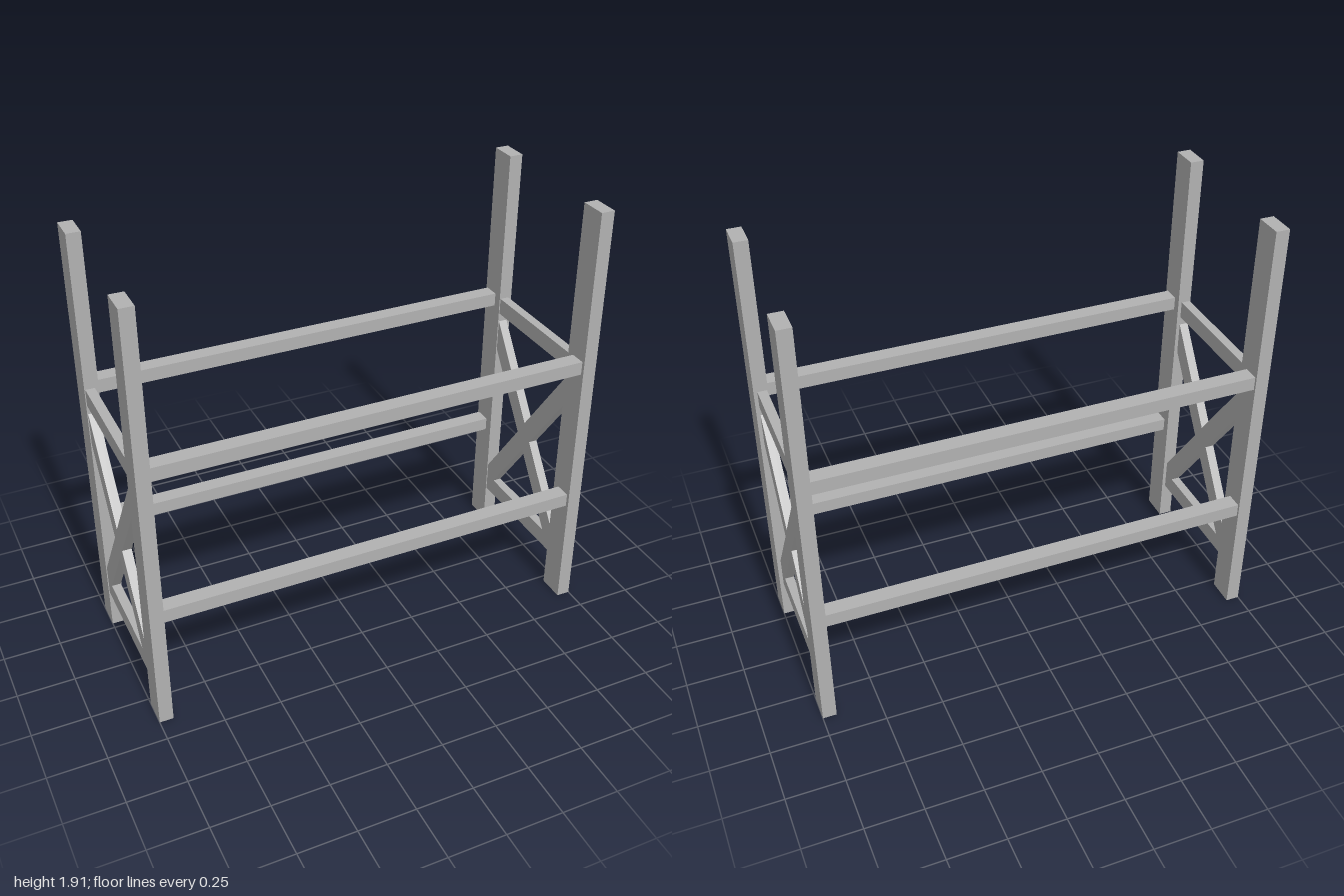
import * as THREE from 'three';

const steel = new THREE.MeshStandardMaterial({ color: 0xb2b2b2, side: THREE.DoubleSide });
steel.name = 'grey steel';

// Box given by its lower and upper limits on each axis
function bar(name, [x0, x1], [y0, y1], [z0, z1]) {
  const geometry = new THREE.BoxGeometry(x1 - x0, y1 - y0, z1 - z0);
  geometry.translate((x0 + x1) / 2, (y0 + y1) / 2, (z0 + z1) / 2);
  const mesh = new THREE.Mesh(geometry, steel);
  mesh.name = name;
  return mesh;
}

// Hollow upright: capped on top, open at the foot
function upright(name, x, z) {
  const mesh = bar(name, [x - 0.03, x + 0.03], [0, 1.91], [z - 0.06, z + 0.06]);
  const index = Array.from(mesh.geometry.index.array);
  index.splice(18, 6); // drop the bottom face
  mesh.geometry.setIndex(index);
  mesh.geometry.clearGroups();
  return mesh;
}

// Flat X between the uprights, its feet resting on the lower rung
function crossBrace(name, x) {
  const outline = [
    [0.28, 1.115], [0.28, 0.97], [0.05, 0.645], [0.28, 0.32], [0.28, 0.26], [0.222, 0.26], [0, 0.575],
    [-0.222, 0.26], [-0.28, 0.26], [-0.28, 0.32], [-0.05, 0.645], [-0.28, 0.97], [-0.28, 1.115], [0, 0.72],
  ].map(([z, y]) => new THREE.Vector2(z, y));
  const geometry = new THREE.ExtrudeGeometry(new THREE.Shape(outline), { depth: 0.04, bevelEnabled: false });
  geometry.translate(0, 0, -0.02).rotateY(-Math.PI / 2).translate(x, 0, 0);
  const mesh = new THREE.Mesh(geometry, steel);
  mesh.name = name;
  return mesh;
}

export function createModel() {
  const rack = new THREE.Group();
  rack.name = 'rackFrame';

  // End frames: two uprights, two rungs and a cross brace each
  for (const [side, x, braceX] of [['left', 0.97, 0.964], ['right', -0.97, -0.976]]) {
    const frame = new THREE.Group();
    frame.name = side + 'EndFrame';
    const width = [braceX - 0.02, braceX + 0.02];
    frame.add(
      upright('frontUpright', x, 0.34),
      upright('backUpright', x, -0.34),
      bar('lowerRung', width, [0.18, 0.26], [-0.28, 0.28]),
      bar('upperRung', width, [1.155, 1.23], [-0.28, 0.28]),
      crossBrace('crossBrace', braceX),
    );
    rack.add(frame);
  }

  // Long beams joining the end frames
  for (const [level, y] of [['lower', [0.505, 0.565]], ['upper', [1.18, 1.24]]]) {
    rack.add(bar(level + 'FrontBeam', [-0.94, 0.94], y, [0.315, 0.385]));
    rack.add(bar(level + 'BackBeam', [-0.94, 0.94], y, [-0.39, -0.32]));
  }
  return rack;
}
